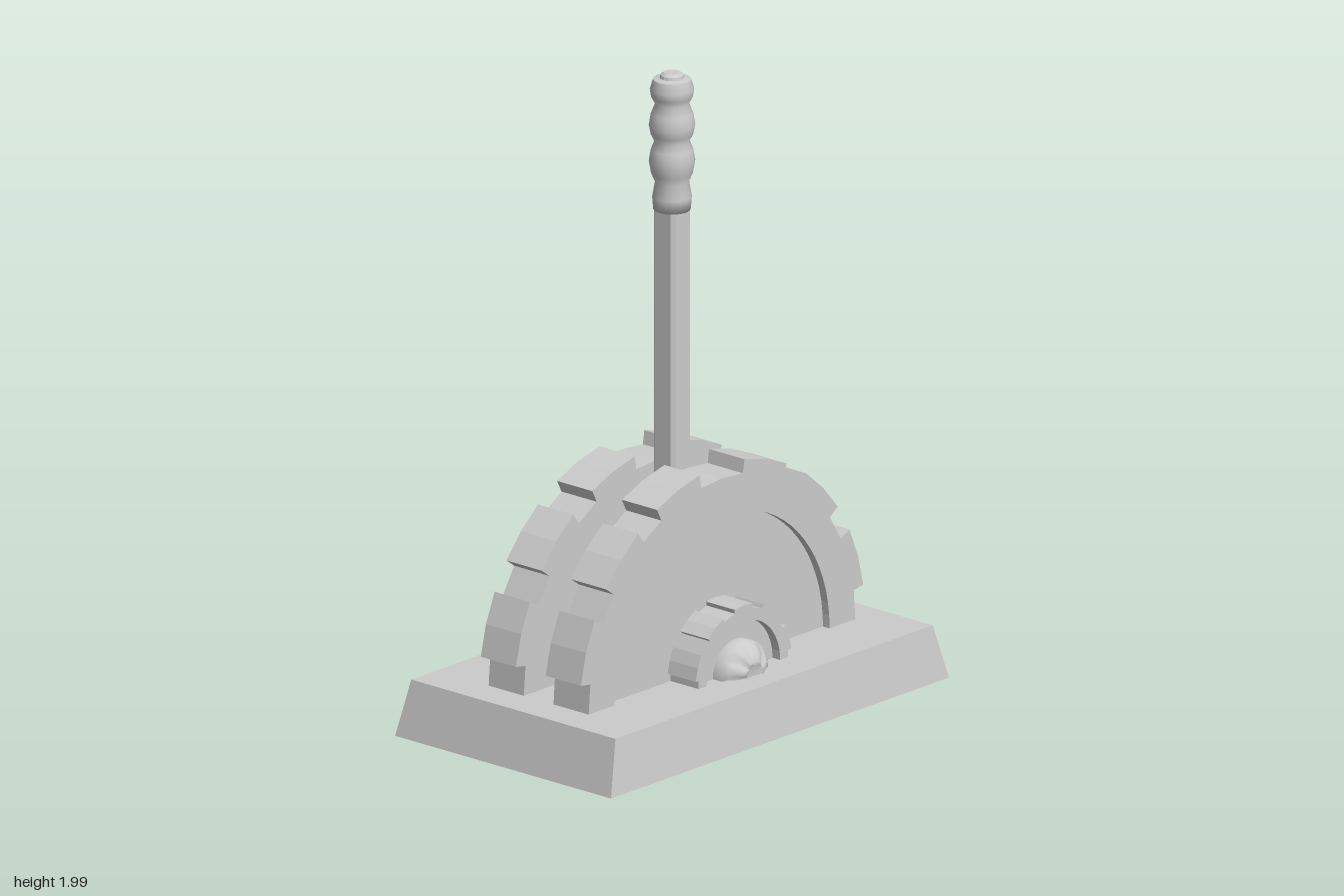
import * as THREE from 'three';

const CY = 0.215; // height of the axle
const mat = new THREE.MeshStandardMaterial({ color: 0xcccccc });
const flat = new THREE.MeshStandardMaterial({ color: 0xcccccc, flatShading: true });
const open = new THREE.MeshStandardMaterial({ color: 0xcccccc, flatShading: true, side: THREE.DoubleSide });

const polar = (r, deg) => new THREE.Vector2(r * Math.cos(deg * Math.PI / 180), r * Math.sin(deg * Math.PI / 180));

function arc(r, from, to, step) {
  const n = Math.round(Math.abs(to - from) / step);
  return Array.from({ length: n + 1 }, (_, i) => polar(r, from + (to - from) * i / n));
}

function slab(shape, z, depth) {
  const g = new THREE.ExtrudeGeometry(shape, { depth, bevelEnabled: false });
  return g.translate(0, 0, z);
}

function add(parent, name, geometry, material = mat) {
  const mesh = new THREE.Mesh(geometry, material);
  mesh.name = name;
  parent.add(mesh);
  return mesh;
}

// Toothed upper half outline of a large quadrant wheel
function quadrantOutline() {
  const pts = [new THREE.Vector2(0.58, -0.05), ...arc(0.58, 0, 9, 9)];
  for (const a of [9, 36, 63]) pts.push(...arc(0.622, a, a + 18, 9), polar(0.58, a + 18), polar(0.58, a + 27));
  pts.pop(); // the last gap spans the top
  const left = pts.map(p => new THREE.Vector2(-p.x, p.y)).reverse();
  return [...pts, polar(0.58, 90), ...left];
}

// Small hub gear outline
function gearOutline() {
  const pts = [];
  for (let i = 0; i < 10; i++) {
    const a = i * 36 + 18;
    pts.push(...arc(0.209, a - 11, a + 11, 11), ...arc(0.196, a + 11, a + 25, 14));
  }
  return pts;
}

// Hollow tapered base, open underneath
function baseGeometry() {
  const g = new THREE.BoxGeometry(2, 0.167, 2);
  const p = g.attributes.position;
  for (let i = 0; i < p.count; i++) {
    const top = p.getY(i) > 0;
    p.setX(i, p.getX(i) * (top ? 0.69 : 0.735));
    p.setZ(i, p.getZ(i) * (top ? 0.4 : 0.423));
  }
  const index = Array.from(g.index.array);
  index.splice(18, 6); // drop the bottom face
  g.setIndex(index);
  g.clearGroups();
  g.translate(0, 0.1315, 0);
  g.computeVertexNormals();
  return g;
}

// Fluted domed bolt head, axis along +z
function boltGeometry() {
  const profile = [[0.1, 0], [0.1, 0.035], [0.085, 0.05], [0.068, 0.066], [0.045, 0.075], [0.036, 0.075], [0.033, 0.07], [0, 0.07]];
  const g = new THREE.LatheGeometry(profile.map(([x, y]) => new THREE.Vector2(x, y)), 32);
  const p = g.attributes.position;
  for (let i = 0; i < p.count; i++) {
    const segment = Math.floor(i / profile.length);
    const row = i % profile.length;
    if (row > 1 && row < 5 && segment % 4 === 0) {
      p.setXYZ(i, p.getX(i) * 0.92, p.getY(i) - 0.008, p.getZ(i) * 0.92);
    }
  }
  g.rotateX(Math.PI / 2);
  g.computeVertexNormals();
  return g;
}

export function createModel() {
  const model = new THREE.Group();
  model.name = 'lever';

  add(model, 'base', baseGeometry(), open);

  // Both sides of the mechanism
  for (const [side, turn] of [['front', 0], ['back', Math.PI]]) {
    const half = new THREE.Group();
    half.name = side + 'Half';
    half.position.y = CY;
    half.rotation.y = turn;
    model.add(half);

    // Quadrant wheel with a raised rim around its outer face
    const outline = quadrantOutline();
    add(half, 'quadrantWheel', slab(new THREE.Shape(outline), 0.058, 0.112));
    const inner = [new THREE.Vector2(-0.468, -0.05), ...arc(0.468, 180, 0, 5), new THREE.Vector2(0.468, -0.05)];
    add(half, 'quadrantRim', slab(new THREE.Shape([...outline, ...inner]), 0.17, 0.026));

    // Hub gear with a recessed end
    add(half, 'hubGear', slab(new THREE.Shape(gearOutline()), 0.158, 0.092));
    const rim = new THREE.Shape(gearOutline());
    rim.holes.push(new THREE.Path(arc(0.16, 360, 0, 10)));
    add(half, 'hubRim', slab(rim, 0.25, 0.03));
    add(half, 'bolt', boltGeometry()).position.z = 0.25;

    // Plain drum between gear and slot
    const drum = new THREE.CylinderGeometry(0.2, 0.2, 0.108, 40);
    add(half, 'drum', drum.rotateX(Math.PI / 2).translate(0, 0, 0.104));
  }

  // Drum centre with the slot that takes the lever
  const centre = new THREE.Shape([...arc(0.2, 160, 380, 10), ...arc(0.165, 18, 162, 8)]);
  add(model, 'drumSlot', slab(centre, -0.05, 0.1)).position.y = CY;

  // Chamfered lever bar
  const w = 0.042, c = 0.031;
  const section = [[w, -c], [w, c], [c, w], [-c, w], [-w, c], [-w, -c], [-c, -w], [c, -w]];
  const bar = slab(new THREE.Shape(section.map(([x, y]) => new THREE.Vector2(x, y))), 0.3, 1.3);
  add(model, 'leverBar', bar.rotateX(-Math.PI / 2), flat);

  // Ribbed grip
  const grip = [[0.055, 1.58], [0.058, 1.62], [0.05, 1.665], [0.061, 1.69], [0.068, 1.73], [0.062, 1.765], [0.052, 1.79],
    [0.062, 1.81], [0.068, 1.84], [0.062, 1.875], [0.05, 1.905], [0.061, 1.925], [0.065, 1.95], [0.056, 1.98]]
    .map(([x, y]) => new THREE.Vector2(x, y));
  add(model, 'grip', new THREE.LatheGeometry([new THREE.Vector2(0, 1.58), ...grip], 16));

  // Grip cap
  const cap = [[0.056, 1.98], [0.036, 1.984], [0.034, 1.993], [0.024, 2], [0, 2]].map(([x, y]) => new THREE.Vector2(x, y));
  add(model, 'gripCap', new THREE.LatheGeometry(cap, 16), flat);

  return model;
}
